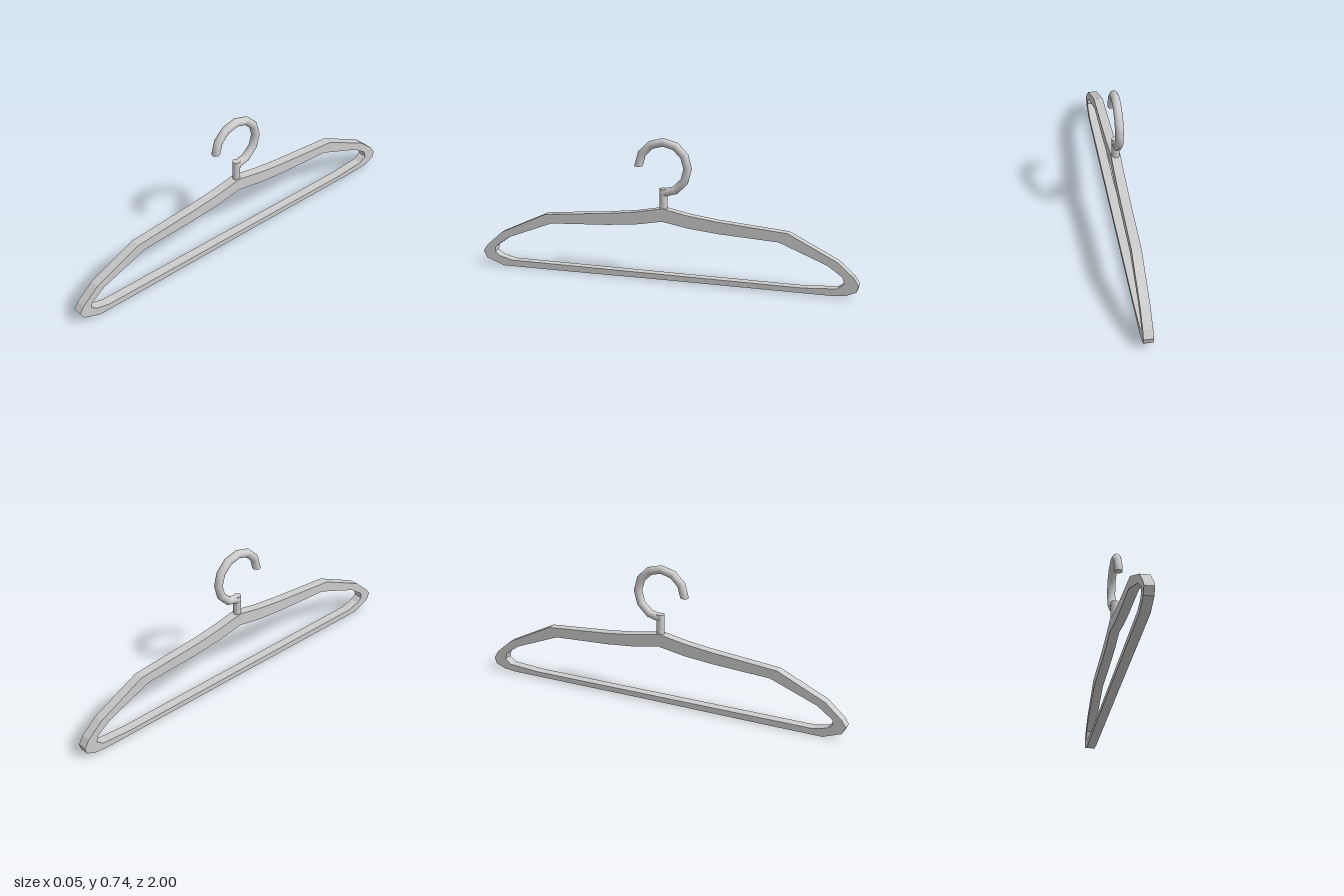
import * as THREE from 'three';

export function createModel() {
  const plastic = new THREE.MeshStandardMaterial({ color: 0xcccccc });
  plastic.name = 'light grey plastic';
  const model = new THREE.Group();
  model.name = 'coatHanger';
  const add = (name, geometry, y = 0, z = 0) => {
    const mesh = new THREE.Mesh(geometry, plastic);
    mesh.name = name;
    mesh.position.set(0, y, z);
    model.add(mesh);
    return mesh;
  };
  const points = list => list.map(([z, y]) => new THREE.Vector2(z, y));

  // Frame: closed outline with the opening as a hole, profile in (z, y)
  const outline = new THREE.Shape(points([
    [0, 0.38], [-0.14, 0.353], [-0.28, 0.335], [-0.645, 0.305], [-0.895, 0.18],
    [-0.975, 0.11], [-1, 0.07], [-0.99, 0.037], [-0.94, 0.016], [-0.87, 0.009],
    [0, 0.007], [0.57, 0.003], [0.885, 0.002], [0.98, 0.037], [1, 0.075],
    [0.975, 0.11], [0.89, 0.185], [0.64, 0.301], [0.28, 0.335], [0.14, 0.353],
  ]));
  outline.holes.push(new THREE.Path(points([
    [0, 0.313], [0.14, 0.288], [0.295, 0.273], [0.605, 0.255], [0.85, 0.16],
    [0.93, 0.102], [0.933, 0.075], [0.905, 0.053], [0.835, 0.035],
    [-0.73, 0.035], [-0.895, 0.047], [-0.93, 0.073], [-0.92, 0.107],
    [-0.845, 0.16], [-0.6, 0.257], [-0.295, 0.273], [-0.14, 0.288],
  ])));
  const depth = 0.048;
  const frame = new THREE.ExtrudeGeometry(outline, { depth, bevelEnabled: false });
  frame.translate(0, 0, -depth / 2).rotateY(-Math.PI / 2);
  add('frame', frame);

  // Short post joining the frame and the hook
  add('post', new THREE.CylinderGeometry(0.02, 0.02, 0.12, 16), 0.42);

  // Hook: three quarters of a ring in nine segments, open towards the front
  const radius = 0.129, tube = 0.0215, hookY = 0.587, hookZ = 0.003;
  const ring = new THREE.TorusGeometry(radius, tube, 16, 9, Math.PI * 1.5);
  add('hook', ring.rotateY(-Math.PI / 2), hookY, hookZ);
  add('hookTip', new THREE.CircleGeometry(tube, 16).rotateX(Math.PI / 2), hookY, hookZ + radius);
  add('hookBase', new THREE.CircleGeometry(tube, 16), hookY - radius, hookZ);

  return model;
}
